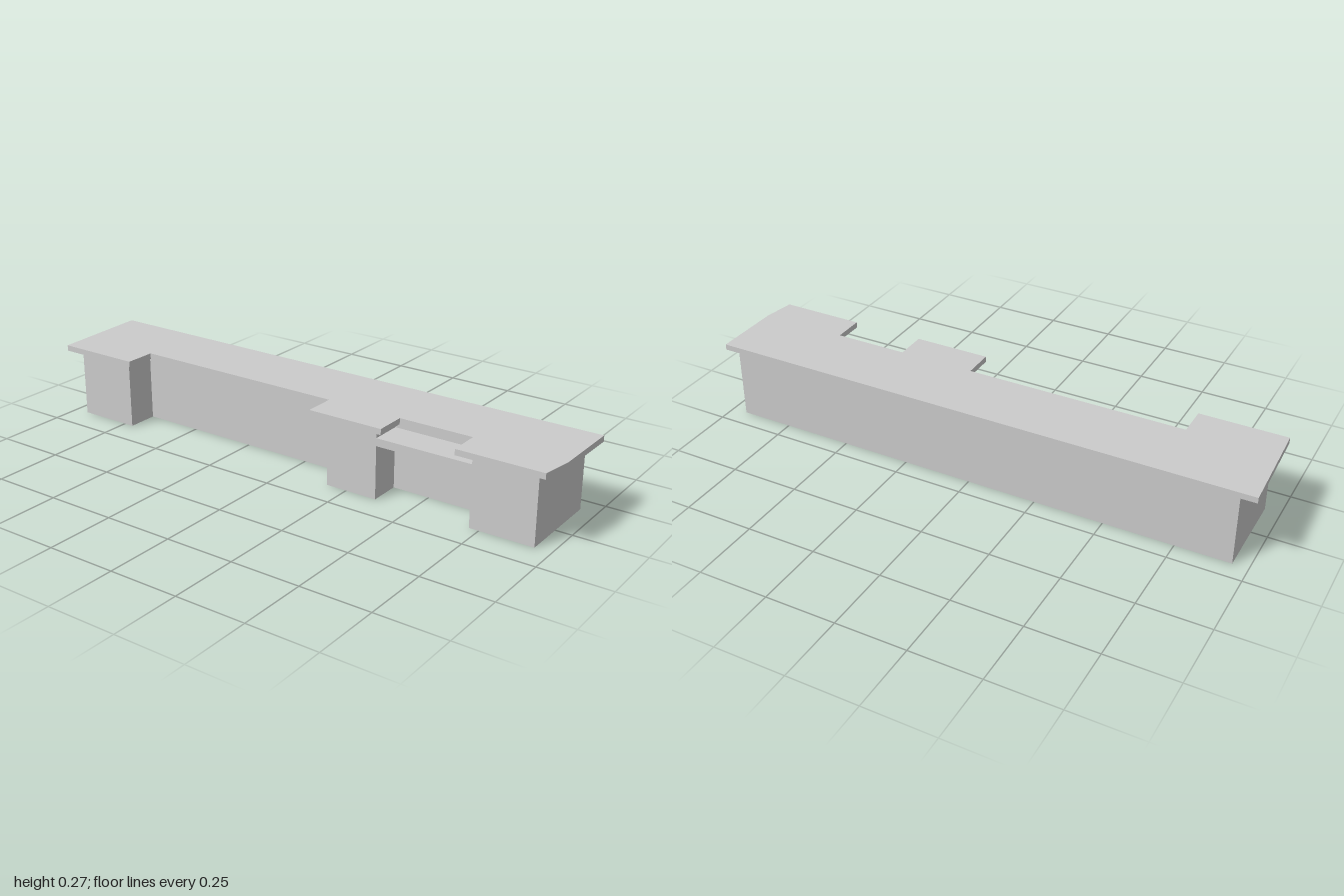
import * as THREE from 'three';

const material = new THREE.MeshStandardMaterial({ color: 0xcccccc, flatShading: true });

// Extrudes an (x, z) floor plan upwards from y0 to y1
function planSlab(name, plan, y0, y1) {
  const shape = new THREE.Shape(plan.map(([x, z]) => new THREE.Vector2(x, -z)));
  const geometry = new THREE.ExtrudeGeometry(shape, { depth: y1 - y0, bevelEnabled: false });
  geometry.rotateX(-Math.PI / 2).translate(0, y0, 0);
  const mesh = new THREE.Mesh(geometry, material);
  mesh.name = name;
  return mesh;
}

// Front edge from left to right with two recesses cut back to z = inner
function frontEdge(x0, x1, outer, inner, recesses) {
  const points = [[x0, outer]];
  for (const [a, b] of recesses) points.push([a, outer], [a, inner], [b, inner], [b, outer]);
  points.push([x1, outer]);
  return points;
}

export function createModel() {
  const group = new THREE.Group();
  group.name = 'counter';
  const back = -0.182, top = 0.273, bodyTop = 0.252;

  // Cabinet body with a wide knee space and a narrow bay
  const bay = [0.365, 0.715];
  group.add(planSlab('cabinetBody', [
    [-0.945, back],
    ...frontEdge(-0.945, 0.942, 0.143, 0.029, [[-0.713, 0.172], bay]),
    [0.942, back],
  ], 0, bodyTop));

  // Overhanging worktop with tapered ends and matching recesses
  group.add(planSlab('worktop', [
    [-1, back],
    ...frontEdge(-0.985, 0.98, 0.182, 0.069, [[-0.672, 0.128], [0.406, 0.674]]),
    [0.998, 0.069], [1, back],
  ], bodyTop, top));

  // Lowered shelf bridging the narrow bay
  const shelf = new THREE.Mesh(new THREE.BoxGeometry(bay[1] - bay[0], 0.028, 0.114), material);
  shelf.name = 'bayShelf';
  shelf.position.set((bay[0] + bay[1]) / 2, 0.204, 0.086);
  group.add(shelf);

  return group;
}
